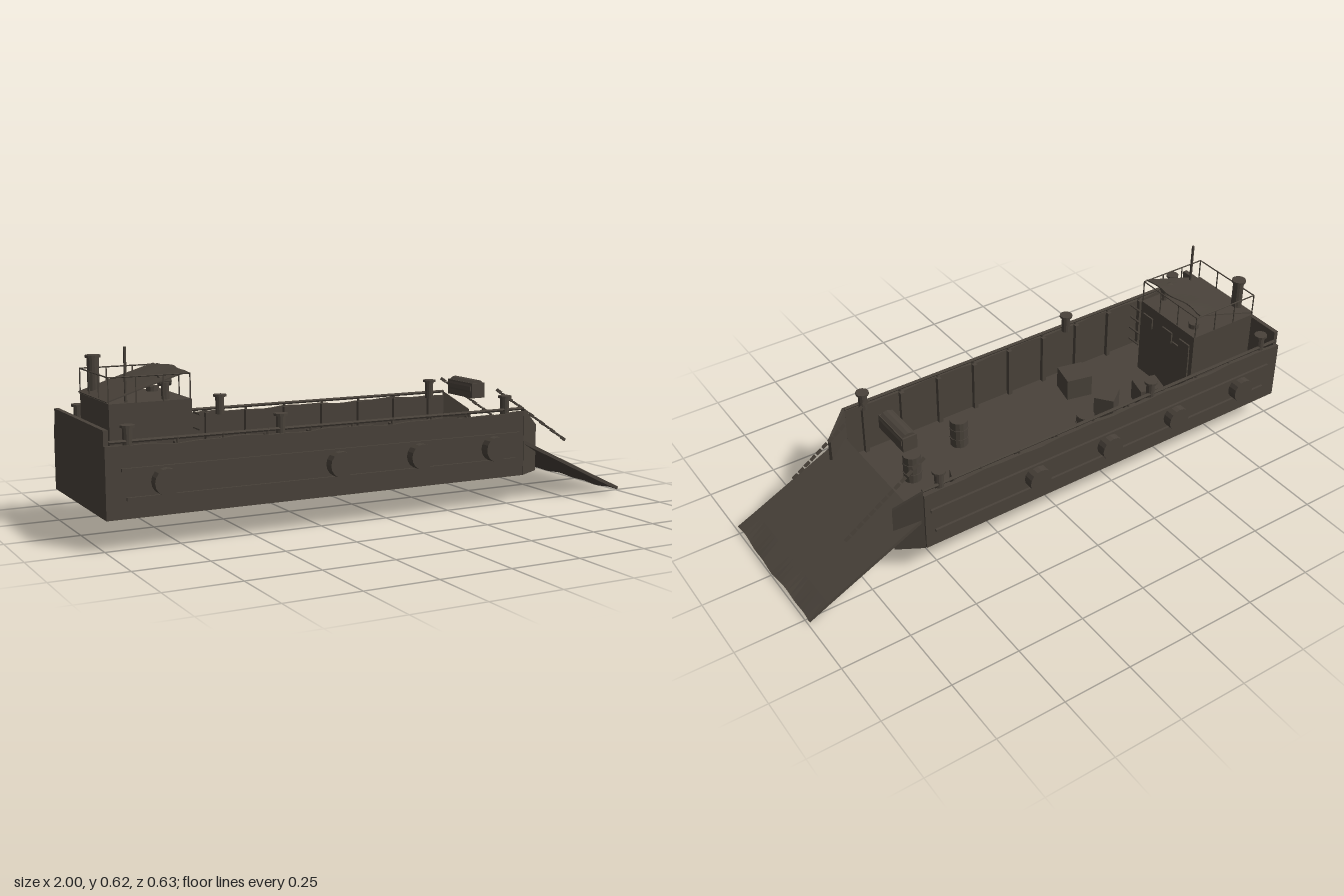
import * as THREE from 'three';

export function createModel() {
  const model = new THREE.Group();
  const steel = new THREE.MeshStandardMaterial({ color: 0x49423a });
  steel.name = 'weathered dark steel';

  // faceted mesh helper
  const add = (name, geo, x = 0, y = 0, z = 0, parent = model) => {
    const flat = geo.index ? geo.toNonIndexed() : geo;
    flat.computeVertexNormals();
    const mesh = new THREE.Mesh(flat, steel);
    mesh.name = name;
    mesh.position.set(x, y, z);
    parent.add(mesh);
    return mesh;
  };
  const box = (name, w, h, d, x, y, z) => add(name, new THREE.BoxGeometry(w, h, d), x, y, z);
  const drum = (name, r, h, x, y, z, sides = 14) =>
    add(name, new THREE.CylinderGeometry(r, r, h, sides), x, y + h / 2, z);
  const rod = (name, a, b, r, sides = 6) => {
    const p = new THREE.Vector3(...a), q = new THREE.Vector3(...b);
    const mesh = add(name, new THREE.CylinderGeometry(r, r, p.distanceTo(q), sides));
    mesh.position.copy(p).add(q).multiplyScalar(0.5);
    mesh.quaternion.setFromUnitVectors(new THREE.Vector3(0, 1, 0), q.sub(p).normalize());
    return mesh;
  };
  const bend = (geo, rule) => {
    const p = geo.attributes.position, v = new THREE.Vector3();
    for (let i = 0; i < p.count; i++) {
      v.fromBufferAttribute(p, i);
      rule(v);
      p.setXYZ(i, v.x, v.y, v.z);
    }
    return geo;
  };
  const wave = (t, k) => Math.sin(t * 17 + k) * 0.6 + Math.sin(t * 41 + k * 2) * 0.4;

  // floor plate with chamfered bow corners
  const plan = new THREE.Shape([[-1, -0.272], [0.55, -0.272], [0.64, -0.22], [0.64, 0.22], [0.55, 0.272], [-1, 0.272]]
    .map(([x, z]) => new THREE.Vector2(x, z)));
  const floor = new THREE.ExtrudeGeometry(plan, { depth: 0.03, bevelEnabled: false });
  floor.rotateX(-Math.PI / 2);
  add('deckFloor', floor, 0, 0.1, 0);
  box('sternWall', 0.016, 0.28, 0.53, -0.992, 0.24, 0);

  for (const s of [1, -1]) {
    // side wall with battered top edge
    const wall = bend(new THREE.BoxGeometry(1.55, 0.228, 0.014, 40, 1, 1), v => {
      if (v.y > 0) v.y += wave(v.x, s) * 0.005;
    });
    add('sideWall', wall, -0.225, 0.214, s * 0.27);

    // bow cheek angled inward
    const cheek = new THREE.Shape();
    cheek.moveTo(0, 0.1);
    cheek.lineTo(0.104, 0.1);
    cheek.lineTo(0.104, 0.27);
    cheek.lineTo(0, 0.342);
    const plate = new THREE.ExtrudeGeometry(cheek, { depth: 0.012, bevelEnabled: false });
    plate.translate(0, 0, -0.006);
    add('bowCheek', plate, 0.55, 0, s * 0.27).rotation.y = s * 0.52;

    // gunwale, rub strakes and stern corner plate
    rod('gunwaleRail', [-0.985, 0.341, s * 0.265], [0.55, 0.341, s * 0.265], 0.006);
    box('upperStrake', 1.48, 0.01, 0.014, -0.21, 0.255, s * 0.279);
    box('lowerStrake', 1.45, 0.01, 0.014, -0.21, 0.163, s * 0.279);

    // inner frames and rail stubs
    for (let i = 0; i < 10; i++) {
      const x = 0.48 - i * 0.155;
      box('wallFrame', 0.016, 0.2, 0.018, x, 0.228, s * 0.256);
      rod('railStub', [x, 0.31, s * 0.265], [x, 0.345, s * 0.265], 0.005);
    }

    // mooring bollards
    for (const x of [-0.92, -0.4, 0.48]) {
      drum('bollardPost', 0.016, 0.065, x, 0.32, s * 0.257, 12);
      drum('bollardCap', 0.024, 0.008, x, 0.383, s * 0.257, 12);
    }

    // round fenders
    for (const x of s > 0 ? [-0.81, -0.2, 0.11, 0.415] : [-0.81, -0.5, -0.2, 0.11]) {
      const fender = drum('fender', 0.044, 0.038, x, 0, 0, 16);
      fender.position.set(x, 0.21, s * 0.294);
      fender.rotation.x = Math.PI / 2;
    }

    // ramp chain, alternating links
    for (let i = 0; i < 13; i++) {
      const t = (i + 0.5) / 13;
      const link = add('chainLink', new THREE.BoxGeometry(0.023, i % 2 ? 0.006 : 0.01, i % 2 ? 0.011 : 0.007),
        0.49 + 0.315 * t, 0.405 - 0.212 * t, s * 0.189);
      link.rotation.z = -0.593;
    }
  }

  // lowered bow ramp with a torn lip
  const ramp = bend(new THREE.BoxGeometry(0.485, 0.012, 0.541, 6, 1, 24), v => {
    if (v.x > 0.24) {
      v.x += wave(v.z, 1) * 0.005;
      v.y += wave(v.z, 2.5) * 0.004;
    }
  });
  add('bowRamp', ramp, 0.776, 0.112, 0).rotation.z = -0.453;

  // bow winch
  box('winchHousing', 0.055, 0.055, 0.164, 0.484, 0.388, 0);
  const winch = drum('winchDrum', 0.032, 0.15, 0.484, 0, 0, 14);
  winch.position.set(0.484, 0.395, 0);
  winch.rotation.x = Math.PI / 2;

  // wheelhouse
  box('wheelhouse', 0.28, 0.307, 0.305, -0.792, 0.2835, -0.035);
  box('cabinDoor', 0.008, 0.21, 0.095, -0.65, 0.255, -0.122);
  for (const z of [0.072, -0.042, -0.14]) box('cabinWindow', 0.008, 0.045, 0.055, -0.65, 0.372, z);
  for (let i = 0; i < 4; i++) rod('ladderRung', [-0.645, 0.242 + i * 0.05, 0.112], [-0.645, 0.242 + i * 0.05, 0.17], 0.004);

  // sloping canopy sheet with a torn front edge
  const canopy = bend(new THREE.BoxGeometry(0.28, 0.004, 0.3, 6, 1, 18), v => {
    const front = Math.max(0, v.x) / 0.14;
    v.x += front * wave(v.z, 0.7) * 0.014;
    v.y += front * wave(v.z, 2) * 0.004;
  });
  add('canopy', canopy, -0.805, 0.485, -0.035).rotation.z = 0.31;

  // roof rails
  const [x0, x1, z0, z1] = [-0.932, -0.657, -0.186, 0.116];
  const corners = [[x0, z0], [x1, z0], [x1, z1], [x0, z1]];
  corners.forEach(([x, z], i) => {
    const [nx, nz] = corners[(i + 1) % 4];
    rod('roofRail', [x, 0.521, z], [nx, 0.521, nz], 0.0025, 5);
    for (let k = 0; k < 3; k++) {
      const px = x + (nx - x) * k / 3, pz = z + (nz - z) * k / 3;
      rod('roofRailPost', [px, 0.435, pz], [px, 0.521, pz], 0.0025, 5);
    }
  });

  // mast, funnel and searchlight
  rod('mast', [-0.868, 0.435, 0.095], [-0.868, 0.615, 0.095], 0.005, 8);
  drum('funnel', 0.02, 0.13, -0.903, 0.435, -0.129);
  drum('funnelCap', 0.026, 0.009, -0.903, 0.561, -0.129);
  drum('searchlightPost', 0.013, 0.055, -0.73, 0.437, 0.082, 10);
  const lamp = drum('searchlight', 0.017, 0.04, 0, 0, 0, 12);
  lamp.position.set(-0.727, 0.495, 0.066);
  lamp.rotation.z = Math.PI / 2;
  drum('roofVent', 0.02, 0.018, -0.7, 0.437, -0.128, 10);

  // deck cargo: barrels and crates
  for (const [x, z] of [[-0.215, -0.125], [0.18, 0.107], [0.42, 0.033]]) {
    drum('barrel', 0.033, 0.108, x, 0.13, z);
    for (const y of [0.16, 0.2]) drum('barrelHoop', 0.035, 0.006, x, y, z);
  }
  for (const [x, z, w, h, d, turn] of [
    [-0.545, -0.075, 0.095, 0.08, 0.085, -0.25], [-0.375, -0.043, 0.085, 0.085, 0.075, 0.65],
    [-0.357, 0.135, 0.1, 0.085, 0.1, -0.22], [0.28, -0.112, 0.12, 0.06, 0.06, -0.35],
  ]) box('crate', w, h, d, x, 0.13 + h / 2, z).rotation.y = turn;

  return model;
}
